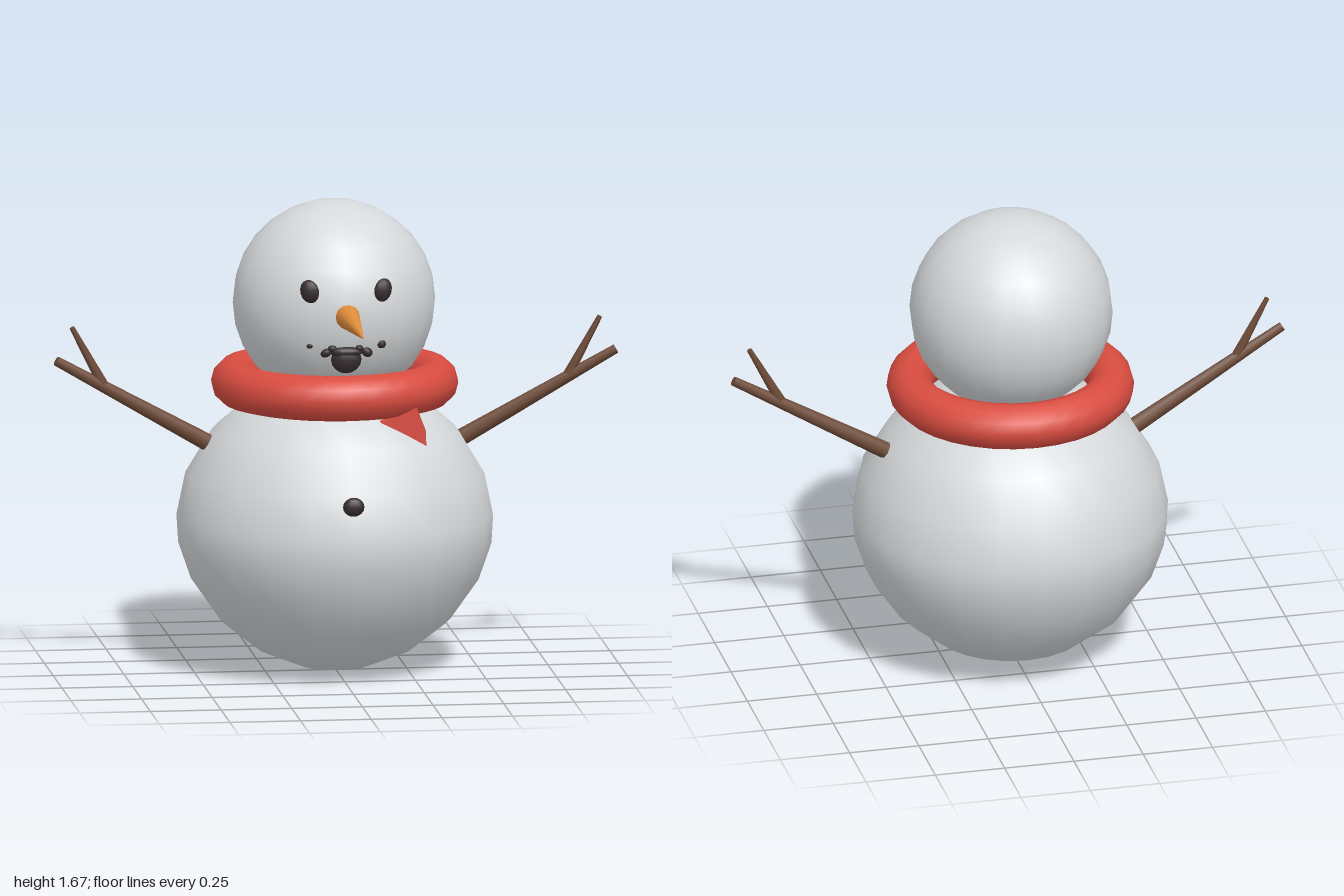
import * as THREE from 'three';

const material = (name, color) => {
  const m = new THREE.MeshStandardMaterial({ color });
  m.name = name;
  return m;
};

export function createModel() {
  const model = new THREE.Group();
  model.name = 'snowman';
  const snow = material('snow', 0xd6d9db);
  const red = material('scarf red', 0xd94c40);
  const orange = material('carrot orange', 0xe08c3a);
  const wood = material('bark brown', 0x6d4a37);
  const coal = material('coal', 0x352c2e);

  const add = (name, geometry, mat, parent = model) => {
    const mesh = new THREE.Mesh(geometry, mat);
    mesh.name = name;
    parent.add(mesh);
    return mesh;
  };

  // Tapered round stick between two points
  const stick = (name, from, to, r0, r1, mat, parent, sides = 8) => {
    const a = new THREE.Vector3(...from), b = new THREE.Vector3(...to);
    const dir = b.clone().sub(a);
    const mesh = add(name, new THREE.CylinderGeometry(r1, r0, dir.length(), sides), mat, parent);
    mesh.position.copy(a).add(b).multiplyScalar(0.5);
    mesh.quaternion.setFromUnitVectors(new THREE.Vector3(0, 1, 0), dir.normalize());
    return mesh;
  };

  // Snowballs
  const profile = [[0, 0.002], [0.12, 0.015], [0.27, 0.075], [0.41, 0.185], [0.505, 0.32], [0.55, 0.45],
    [0.556, 0.55], [0.525, 0.7], [0.435, 0.85], [0.32, 0.95], [0.17, 1.03], [0, 1.06]];
  const body = add('body', new THREE.LatheGeometry(profile.map(p => new THREE.Vector2(...p)), 22), snow);
  body.position.z = -0.03;
  const head = add('head', new THREE.SphereGeometry(0.358, 20, 14), snow);
  head.position.set(-0.003, 1.315, -0.032);

  // Scarf ring and its pointed end
  const scarf = add('scarf', new THREE.TorusGeometry(0.354, 0.081, 12, 32), red);
  scarf.rotation.x = Math.PI / 2;
  scarf.position.set(0, 1.025, -0.033);
  const tailShape = new THREE.Shape([[0.12, 0.935], [0.2, 0.895], [0.28, 0.85], [0.278, 0.905],
    [0.247, 0.985], [0.19, 0.96]].map(p => new THREE.Vector2(...p)));
  const tail = add('scarfEnd', new THREE.ExtrudeGeometry(tailShape, { depth: 0.055, bevelEnabled: false }), red);
  tail.position.z = 0.267;

  // Carrot nose
  stick('nose', [0, 1.318, 0.28], [0.022, 1.287, 0.585], 0.049, 0.003, orange, model, 12);

  // Coal lumps: [name, x, y, z, rx, ry, rz, tilt]
  const lumps = [
    ['leftEye', 0.13, 1.405, 0.297, 0.034, 0.042, 0.022, 0.25],
    ['rightEye', -0.13, 1.405, 0.297, 0.034, 0.042, 0.022, -0.25],
    ['button', 0, 0.67, 0.505, 0.038, 0.034, 0.022, 0],
    ['mouth', 0, 1.16, 0.293, 0.054, 0.05, 0.028, 0],
    ['mouthUpper', 0, 1.187, 0.298, 0.058, 0.02, 0.024, 0],
    ['mouthPebble', 0.125, 1.21, 0.275, 0.019, 0.016, 0.016, 0.5],
    ['mouthPebble', -0.125, 1.208, 0.275, 0.014, 0.01, 0.014, -0.3],
    ['mouthPebble', 0.074, 1.184, 0.29, 0.022, 0.017, 0.016, 0.5],
    ['mouthPebble', -0.07, 1.184, 0.29, 0.022, 0.015, 0.016, -0.5],
    ['mouthPebble', 0.045, 1.2, 0.3, 0.014, 0.012, 0.014, 0],
    ['mouthPebble', -0.05, 1.2, 0.3, 0.016, 0.012, 0.014, 0],
  ];
  for (const [name, x, y, z, rx, ry, rz, tilt] of lumps) {
    const lump = add(name, new THREE.SphereGeometry(1, 10, 8), coal);
    lump.position.set(x, y, z);
    lump.scale.set(rx, ry, rz);
    // Turn each lump with the curve of the snowball
    lump.rotation.set(0, Math.atan2(x, z + 0.03), -tilt);
  }

  // Branch arms
  for (const [side, s] of [['left', 1], ['right', -1]]) {
    const arm = new THREE.Group();
    arm.name = side + 'Arm';
    stick('branch', [s * 0.44, 0.81, -0.033], [s * 0.99, 1.125, 0.005], 0.031, 0.017, wood, arm);
    stick('twig', [s * 0.82, 1.03, -0.006], [s * 0.934, 1.242, 0], 0.019, 0.009, wood, arm);
    model.add(arm);
  }

  return model;
}
